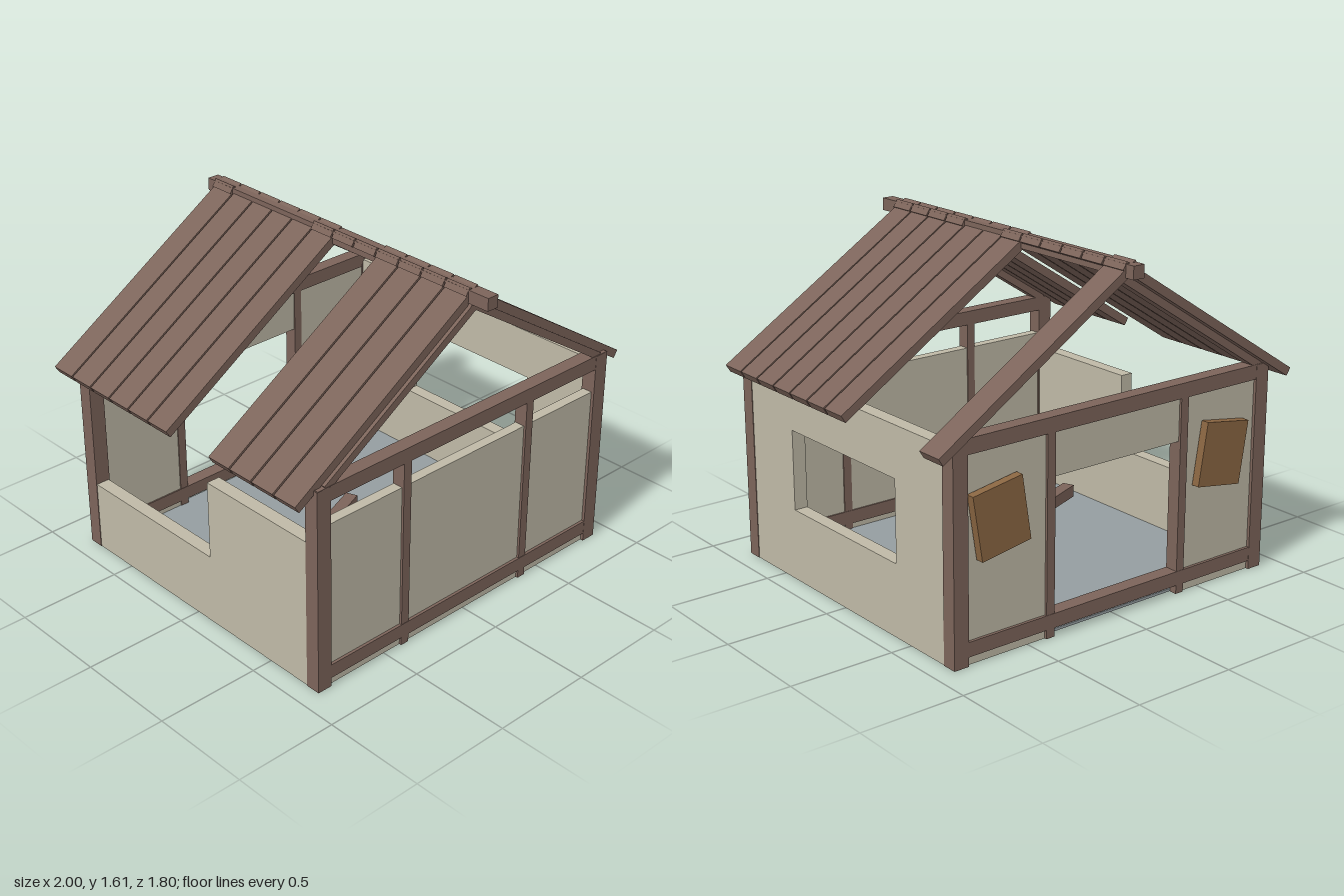
import * as THREE from 'three';

export function createModel() {
  const model = new THREE.Group();
  model.name = 'ruinedCottage';

  const mat = (name, color) => {
    const m = new THREE.MeshStandardMaterial({ color });
    m.name = name;
    return m;
  };
  const wood = mat('darkWood', 0x7c645a);
  const plaster = mat('plaster', 0xbfb9a6);
  const stone = mat('stone', 0x949da0);
  const shutterWood = mat('shutterWood', 0x8a6642);

  const add = (name, geometry, material, parent = model) => {
    const mesh = new THREE.Mesh(geometry, material);
    mesh.name = name;
    parent.add(mesh);
    return mesh;
  };
  // Box given by its min and max corners
  const span = (name, material, [x0, y0, z0], [x1, y1, z1]) => {
    const mesh = add(name, new THREE.BoxGeometry(x1 - x0, y1 - y0, z1 - z0), material);
    mesh.position.set((x0 + x1) / 2, (y0 + y1) / 2, (z0 + z1) / 2);
    return mesh;
  };

  // Floor slab
  span('floor', stone, [-0.84, 0.002, -0.77], [0.84, 0.015, 0.77]);

  // Timber frames at front and back
  for (const s of [1, -1]) {
    const side = s > 0 ? 'front' : 'back';
    const z0 = s > 0 ? 0.737 : -0.81;
    const z1 = z0 + 0.073;
    for (const x of [-0.862, 0.862])
      span(side + 'CornerPost', wood, [x - 0.038, 0, z0], [x + 0.038, 1, z1]);
    for (const x of [-0.382, 0.382])
      span(side + 'MiddlePost', wood, [x - 0.022, 0, z0 + 0.003], [x + 0.022, 0.95, z1 - 0.003]);
    span(side + 'TopBeam', wood, [-0.895, 0.932, z0 + 0.001], [0.895, 1.002, z1 - 0.001]);
    span(side + 'BottomBeam', wood, [-0.84, 0.042, z0 + 0.001], [0.84, 0.11, z1 - 0.001]);
  }

  // Front wall, broken off below the top beam
  span('frontWall', plaster, [-0.84, 0, 0.745], [0.84, 0.81, 0.795]);

  // Back wall with a doorway in the middle
  for (const s of [-1, 1])
    span('backWall', plaster, [s > 0 ? 0.362 : -0.84, 0, -0.795], [s > 0 ? 0.84 : -0.362, 0.94, -0.745]);
  span('backLintel', plaster, [-0.365, 0.73, -0.795], [0.365, 0.94, -0.745]);

  // Whole side wall with a window opening (outline drawn in z and y)
  const outline = new THREE.Shape();
  outline.moveTo(-0.75, 0).lineTo(0.75, 0).lineTo(0.75, 0.97).lineTo(-0.75, 0.97).closePath();
  const opening = new THREE.Path();
  opening.moveTo(-0.4, 0.345).lineTo(-0.4, 0.73).lineTo(0.4, 0.73).lineTo(0.4, 0.345).closePath();
  outline.holes.push(opening);
  const wallGeometry = new THREE.ExtrudeGeometry(outline, { depth: 0.067, bevelEnabled: false });
  const leftWall = add('leftWall', wallGeometry, plaster);
  leftWall.rotation.y = Math.PI / 2;
  leftWall.position.x = 0.83;

  // Ruined side wall: low sill and a taller stump
  const stump = new THREE.Shape();
  stump.moveTo(-0.75, 0).lineTo(0.75, 0).lineTo(0.75, 0.345).lineTo(-0.1, 0.345)
    .lineTo(-0.1, 0.73).lineTo(-0.75, 0.73).closePath();
  const rightWall = add('rightWall',
    new THREE.ExtrudeGeometry(stump, { depth: 0.067, bevelEnabled: false }), plaster);
  rightWall.rotation.y = Math.PI / 2;
  rightWall.position.x = -0.897;

  // Ridge beam
  span('ridgeBeam', wood, [-0.03, 1.545, -0.9], [0.03, 1.605, 0.9]);

  // Roof slopes: local x runs from eave (0) up to the ridge, y is outward
  const angle = Math.atan2(0.65, 1.023);
  const length = 1.212;
  const missing = { left: [7, 8, 9, 10], right: [4, 5] };
  for (const side of ['left', 'right']) {
    const slope = new THREE.Group();
    slope.name = side + 'RoofSlope';
    const pitch = new THREE.Group();
    pitch.name = side + 'RoofPitch';
    pitch.position.set(-1, 0.965, 0);
    pitch.rotation.z = angle;
    slope.add(pitch);
    if (side === 'left') slope.rotation.y = Math.PI;
    const flip = side === 'left' ? -1 : 1;
    model.add(slope);
    for (let i = 0; i < 12; i++) {
      if (missing[side].includes(i)) continue;
      const plank = add('roofPlank', new THREE.BoxGeometry(length, 0.041, 0.129), wood, pitch);
      plank.position.set(length / 2, -0.0205, flip * (0.725 - 0.1375 * i));
    }
    // Rafters under the planks at both ends
    for (const z of [0.772, -0.772]) {
      const rafter = add('rafter', new THREE.BoxGeometry(1.03, 0.036, 0.07), wood, pitch);
      rafter.position.set(0.145 + 0.515, -0.058, flip * z);
    }
  }

  // Tilted shutters on the back wall
  for (const [x, tilt] of [[0.67, -0.16], [-0.6, 0.16]]) {
    const shutter = add('shutter', new THREE.BoxGeometry(0.26, 0.3, 0.04), shutterWood);
    shutter.position.set(x, 0.633, -0.82);
    shutter.rotation.z = tilt;
  }

  // Fallen beam inside
  const beam = add('fallenBeam', new THREE.BoxGeometry(0.76, 0.06, 0.06), wood);
  beam.position.set(-0.245, 0.145, 0.085);
  beam.rotation.y = Math.atan2(0.23, 0.58);

  // Loose rock on the floor
  const rock = add('rock', new THREE.IcosahedronGeometry(0.055, 0), stone);
  rock.material.flatShading = true;
  rock.scale.set(1, 0.8, 0.65);
  rock.position.set(-0.275, 0.045, 0.175);
  rock.rotation.y = 0.3;

  return model;
}
